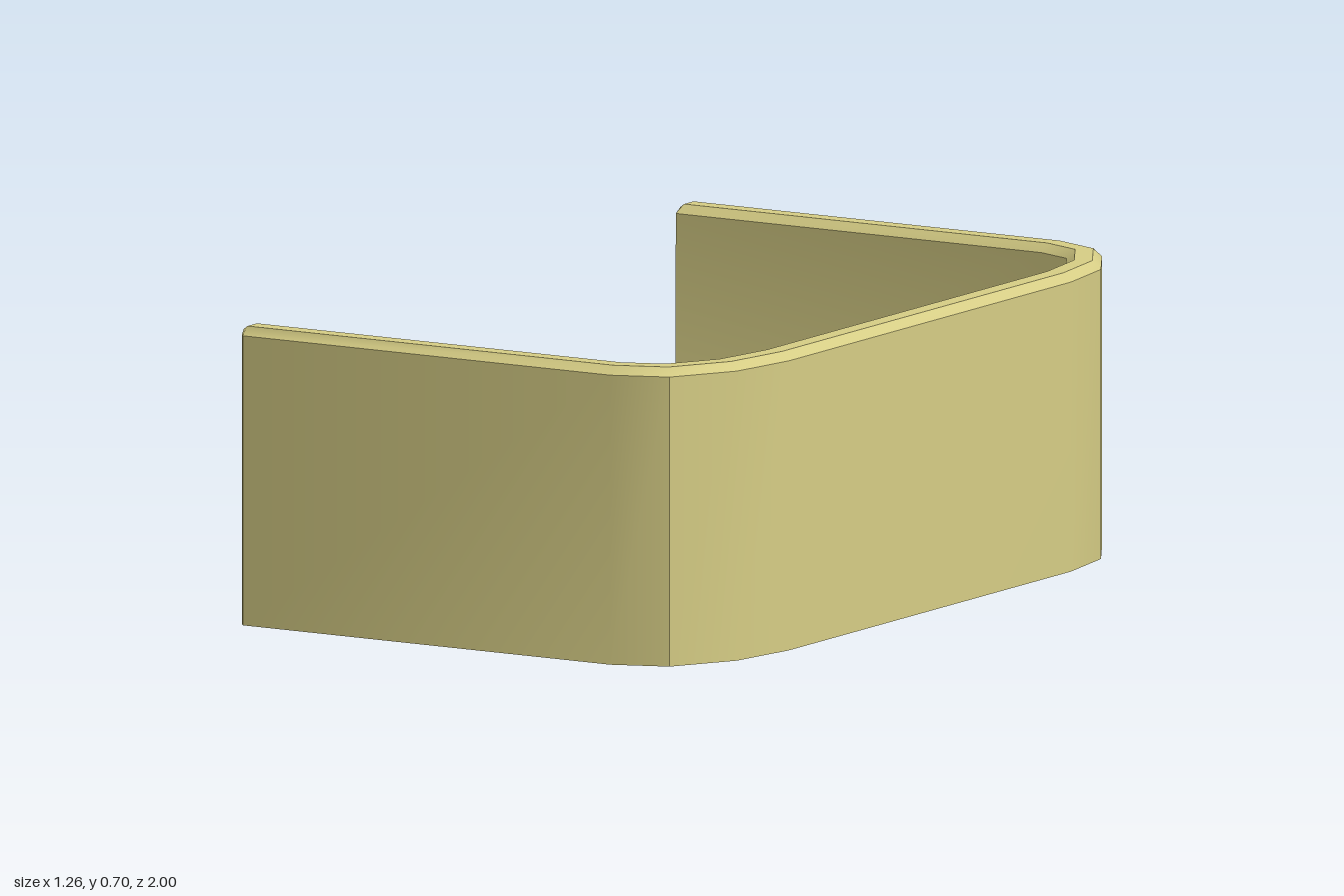
import * as THREE from 'three';
import { toCreasedNormals } from 'three/addons/utils/BufferGeometryUtils.js';

// Plan of the outer wall: from the open end, round the front corner, then mirrored
const half = [[-0.63, 1], [-0.62, 1], [0.38, 1], [0.51, 0.95], [0.6, 0.8], [0.63, 0.62]];
const plan = [...half, ...half.map(([x, z]) => [x, -z]).reverse()];

// Wall section as [inset from the outside, height], from the outer foot to the floor
const section = [
  [0, 0], [0, 0.68], [0.02, 0.7], [0.062, 0.7], [0.082, 0.68],
  [0.084, 0.25], [0.11, 0.17], [0.168, 0.113], [0.25, 0.08],
];
// Same section with a small chamfer, used at the two open ends
const endSection = section.map(([d, y]) => [Math.max(d, 0.012), Math.min(y, 0.692)]);

// Outward mitre direction at each plan point
const segNormal = (a, b) => {
  const l = Math.hypot(b[0] - a[0], b[1] - a[1]);
  return [-(b[1] - a[1]) / l, (b[0] - a[0]) / l];
};
const last = plan.length - 1;
const mitres = plan.map((p, i) => {
  const n1 = segNormal(plan[Math.max(i - 1, 0)], plan[Math.max(i, 1)]);
  const n2 = segNormal(plan[Math.min(i, last - 1)], plan[Math.min(i + 1, last)]);
  const k = 1 + n1[0] * n2[0] + n1[1] * n2[1];
  return [(n1[0] + n2[0]) / k, (n1[1] + n2[1]) / k];
});

function shellGeometry() {
  const pos = [], index = [], m = section.length;
  plan.forEach(([x, z], i) => {
    const profile = i === 0 || i === last ? endSection : section;
    for (const [d, y] of profile) pos.push(x - d * mitres[i][0], y, z - d * mitres[i][1]);
  });
  // Wall skin
  for (let i = 0; i < last; i++) {
    for (let j = 0; j < m - 1; j++) {
      const a = i * m + j, b = a + m;
      index.push(a, b, b + 1, a, b + 1, a + 1);
    }
  }
  // Floor and underside
  for (let i = 1; i < last; i++) {
    const f = m - 1;
    index.push(f, i * m + f, (i + 1) * m + f);
    index.push(0, (i + 1) * m, i * m);
  }
  const g = new THREE.BufferGeometry();
  g.setAttribute('position', new THREE.Float32BufferAttribute(pos, 3));
  g.setIndex(index);
  return toCreasedNormals(g, THREE.MathUtils.degToRad(30));
}

// Flat U-shaped face across the open end
function endGeometry() {
  const side = (s) => endSection.map(([d, y]) => new THREE.Vector2(s * (1 - d), y));
  const shape = new THREE.Shape([...side(1), ...side(-1).reverse()]);
  return new THREE.ShapeGeometry(shape).rotateY(-Math.PI / 2).translate(-0.63, 0, 0);
}

export function createModel() {
  const group = new THREE.Group();
  group.name = 'openTray';
  const material = new THREE.MeshStandardMaterial({ color: 0xd6cd85 });
  const add = (name, geometry) => {
    const mesh = new THREE.Mesh(geometry, material);
    mesh.name = name;
    group.add(mesh);
  };
  add('trayShell', shellGeometry());
  add('openEndFace', endGeometry());
  return group;
}
